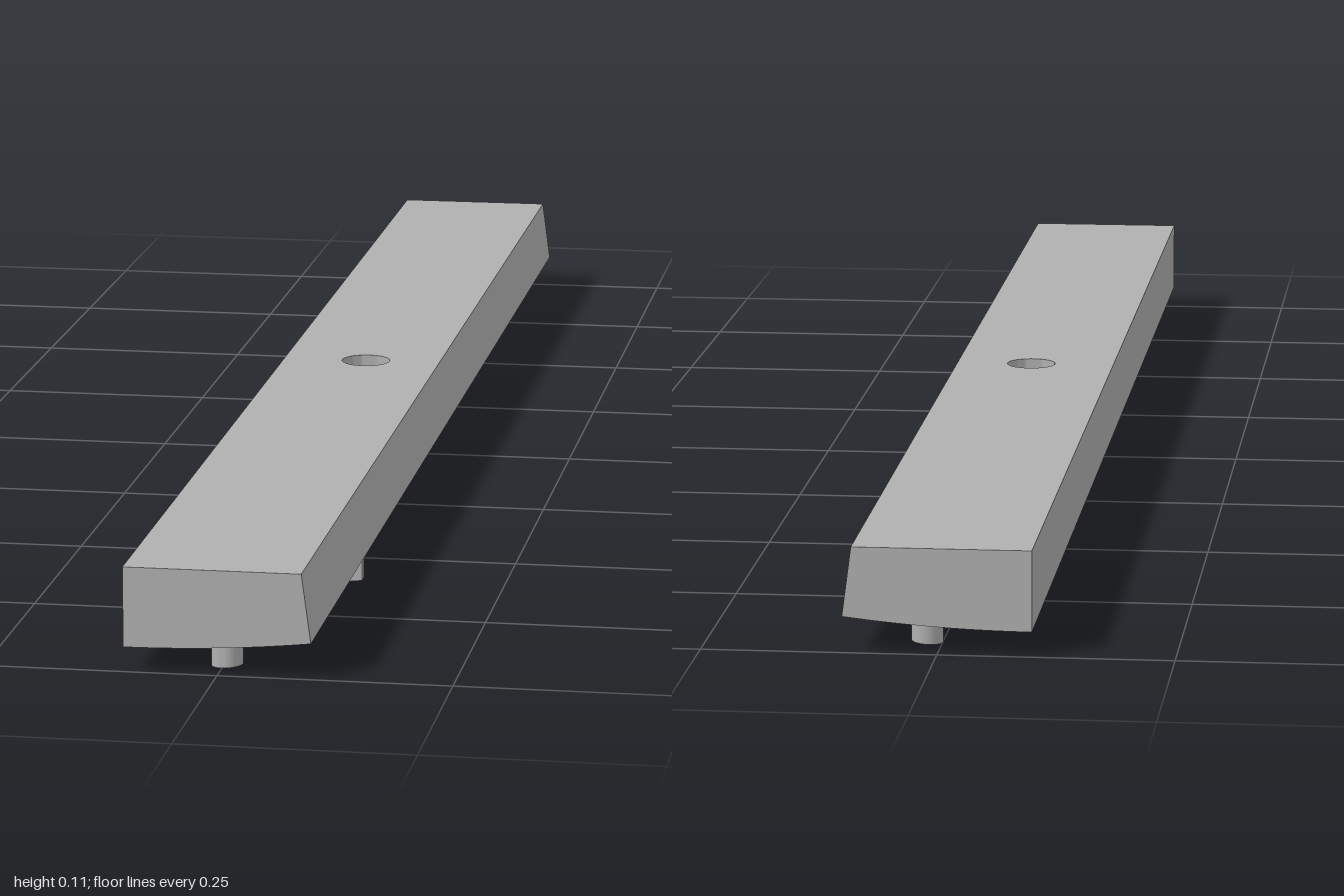
import * as THREE from 'three';
import { toCreasedNormals } from 'three/addons/utils/BufferGeometryUtils.js';

const HALF_W = 0.1, HALF_L = 1, TOP = 0.115, TOP_RIGHT = 0.09;
const RIB_DEPTH = 0.027, RIB_T = 0.013;

// height of the gently curved underside at a given x
const under = (x) => 0.028 + 0.012 * ((x + HALF_W) / (2 * HALF_W)) ** 2;

// moves every vertex of a geometry by a rule
function reshape(geo, rule) {
  const p = geo.attributes.position;
  const v = new THREE.Vector3();
  for (let i = 0; i < p.count; i++) {
    rule(v.fromBufferAttribute(p, i));
    p.setXYZ(i, v.x, v.y, v.z);
  }
  geo.computeVertexNormals();
  return geo;
}

export function createModel() {
  const model = new THREE.Group();
  const grey = new THREE.MeshStandardMaterial({ color: 0xb0b0b0 });
  grey.name = 'grey';

  const add = (name, geo, parent = model) => {
    const mesh = new THREE.Mesh(toCreasedNormals(geo, 0.5), grey);
    mesh.name = name;
    parent.add(mesh);
    return mesh;
  };

  // long bar: one profile swept along z on each side of the drilled block
  const mid = 0.06;
  const profile = new THREE.Shape();
  profile.moveTo(-HALF_W, TOP);
  for (let i = 0; i <= 12; i++) {
    const x = -HALF_W + (2 * HALF_W * i) / 12;
    profile.lineTo(x, under(x));
  }
  profile.lineTo(TOP_RIGHT, TOP);
  for (const z of [mid, -HALF_L]) {
    const geo = new THREE.ExtrudeGeometry(profile, { depth: HALF_L - mid, bevelEnabled: false });
    add(z > 0 ? 'frontBar' : 'backBar', geo.translate(0, 0, z));
  }

  // middle block with the vertical hole
  const plan = new THREE.Shape([
    [-HALF_W, -mid], [-0.05, -mid], [0, -mid], [0.05, -mid], [HALF_W, -mid],
    [HALF_W, mid], [0.05, mid], [0, mid], [-0.05, mid], [-HALF_W, mid],
  ].map(([x, y]) => new THREE.Vector2(x, y)));
  plan.holes.push(new THREE.Path().absarc(0, 0, 0.029, 0, Math.PI * 2, true));
  const block = new THREE.ExtrudeGeometry(plan, { depth: 1, bevelEnabled: false, curveSegments: 32 });
  block.rotateX(-Math.PI / 2);
  add('drilledBlock', reshape(block, (v) => {
    const top = v.y > 0.5;
    if (top && v.x > TOP_RIGHT) v.x = TOP_RIGHT;
    v.y = top ? TOP : under(v.x);
  }));

  // ribs under the bar, following its curve
  const ribs = new THREE.Group();
  ribs.name = 'undersideRibs';
  model.add(ribs);
  const followCurve = (v) => {
    v.y = under(v.x) + (v.y > 0 ? 0.003 : -RIB_DEPTH);
  };
  const rib = (x0, x1, z0, z1) => {
    const geo = new THREE.BoxGeometry(x1 - x0, 1, z1 - z0, 4, 1, 1);
    geo.translate((x0 + x1) / 2, 0, (z0 + z1) / 2);
    add('rib', reshape(geo, followCurve), ribs);
  };
  const along = (x, z0, z1) => rib(x - RIB_T / 2, x + RIB_T / 2, z0, z1);
  const across = (z, x0, x1) => rib(x0, x1, z - RIB_T / 2, z + RIB_T / 2);

  // ribs running lengthwise: x, from z, to z
  for (const r of [
    [0.015, 0.28, 0.46], [-0.04, 0.34, 0.41], [-0.075, 0.09, 0.21],
    [0.065, -0.16, -0.1], [0.035, -0.16, -0.1], [-0.012, -0.21, -0.09],
    [-0.078, -0.41, -0.3], [0.01, -0.65, -0.59], [-0.045, -0.65, -0.59],
    [-0.065, -0.73, -0.65],
  ]) along(...r);

  // ribs running crosswise: z, from x, to x
  for (const r of [
    [0.634, 0.03, 0.097], [0.33, -0.085, 0.015], [0.287, 0.005, 0.035],
    [0.1, -0.085, -0.055], [-0.045, -0.075, -0.025], [-0.11, 0.005, 0.07],
    [-0.15, 0.005, 0.07], [-0.213, -0.05, -0.005], [-0.4, -0.09, -0.06],
    [-0.62, -0.045, 0.01], [-0.645, -0.05, 0.015], [-0.723, -0.08, -0.045],
  ]) across(...r);

  // short round pegs: x, z, radius
  for (const [x, z, r] of [[0.005, 0.965, 0.017], [-0.046, 0.045, 0.014], [0.015, -0.955, 0.017]]) {
    const geo = new THREE.CylinderGeometry(r, r, 1, 20).translate(x, 0, z);
    add('peg', reshape(geo, followCurve), ribs);
  }
  return model;
}
